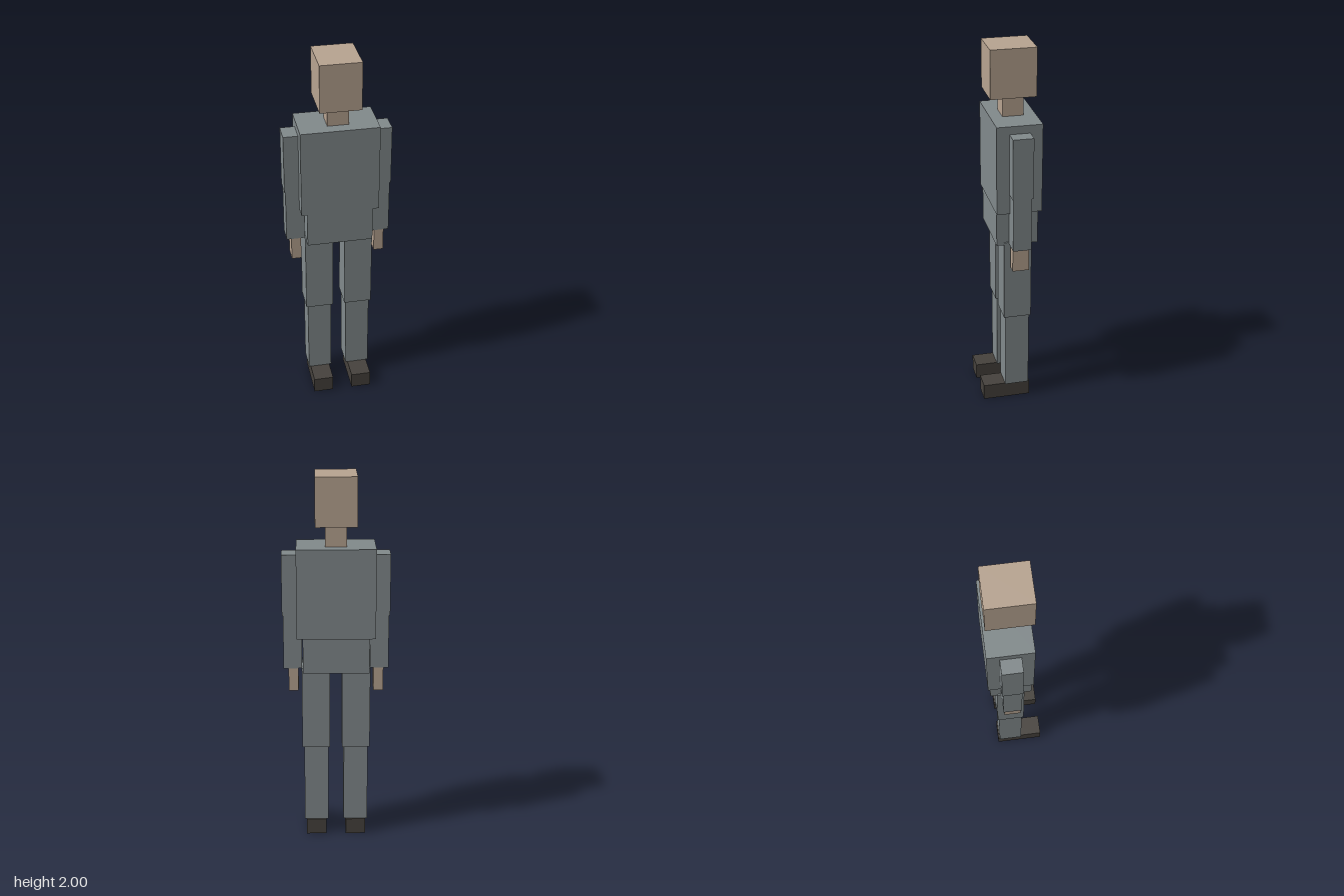
import * as THREE from 'three';

export function createModel() {
  const model = new THREE.Group();
  model.name = 'blockFigure';

  const material = (name, color) => {
    const m = new THREE.MeshStandardMaterial({ color });
    m.name = name;
    return m;
  };
  const skin = material('skin', 0xb8a491);
  const cloth = material('greyCloth', 0x828a8c);
  const shoe = material('darkShoe', 0x46423d);

  // Box given by its lower and upper limits on each axis
  const block = (name, mat, [x0, x1], [y0, y1], [z0, z1], parent = model) => {
    const mesh = new THREE.Mesh(new THREE.BoxGeometry(x1 - x0, y1 - y0, z1 - z0), mat);
    mesh.position.set((x0 + x1) / 2, (y0 + y1) / 2, (z0 + z1) / 2);
    mesh.name = name;
    parent.add(mesh);
  };

  // Head and trunk
  block('head', skin, [-0.108, 0.108], [1.744, 2], [-0.144, 0.096]);
  block('neck', skin, [-0.056, 0.056], [1.632, 1.744], [-0.087, 0.022]);
  block('chest', cloth, [-0.206, 0.206], [1.155, 1.632], [-0.153, 0.086]);
  block('pelvis', cloth, [-0.175, 0.175], [0.962, 1.155], [-0.14, 0.08]);

  // Limb parts for the +x side: name, material, x, y and z limits
  const arm = [
    ['UpperArm', cloth, [0.175, 0.283], [1.264, 1.59], [-0.088, 0.02]],
    ['Forearm', cloth, [0.18, 0.278], [0.972, 1.264], [-0.082, 0.016]],
    ['Hand', skin, [0.2, 0.252], [0.842, 0.972], [-0.075, 0.012]],
  ];
  const leg = [
    ['Thigh', cloth, [0.032, 0.182], [0.525, 0.978], [-0.106, 0.042]],
    ['Shin', cloth, [0.042, 0.172], [0.088, 0.525], [-0.098, 0.032]],
    ['Foot', shoe, [0.054, 0.162], [0, 0.088], [-0.106, 0.152]],
  ];

  // Mirrored arms and legs
  for (const [side, s] of [['left', 1], ['right', -1]]) {
    for (const [limb, parts] of [['Arm', arm], ['Leg', leg]]) {
      const group = new THREE.Group();
      group.name = side + limb;
      for (const [name, mat, [x0, x1], y, z] of parts) {
        block(side + name, mat, s > 0 ? [x0, x1] : [-x1, -x0], y, z, group);
      }
      model.add(group);
    }
  }

  return model;
}
